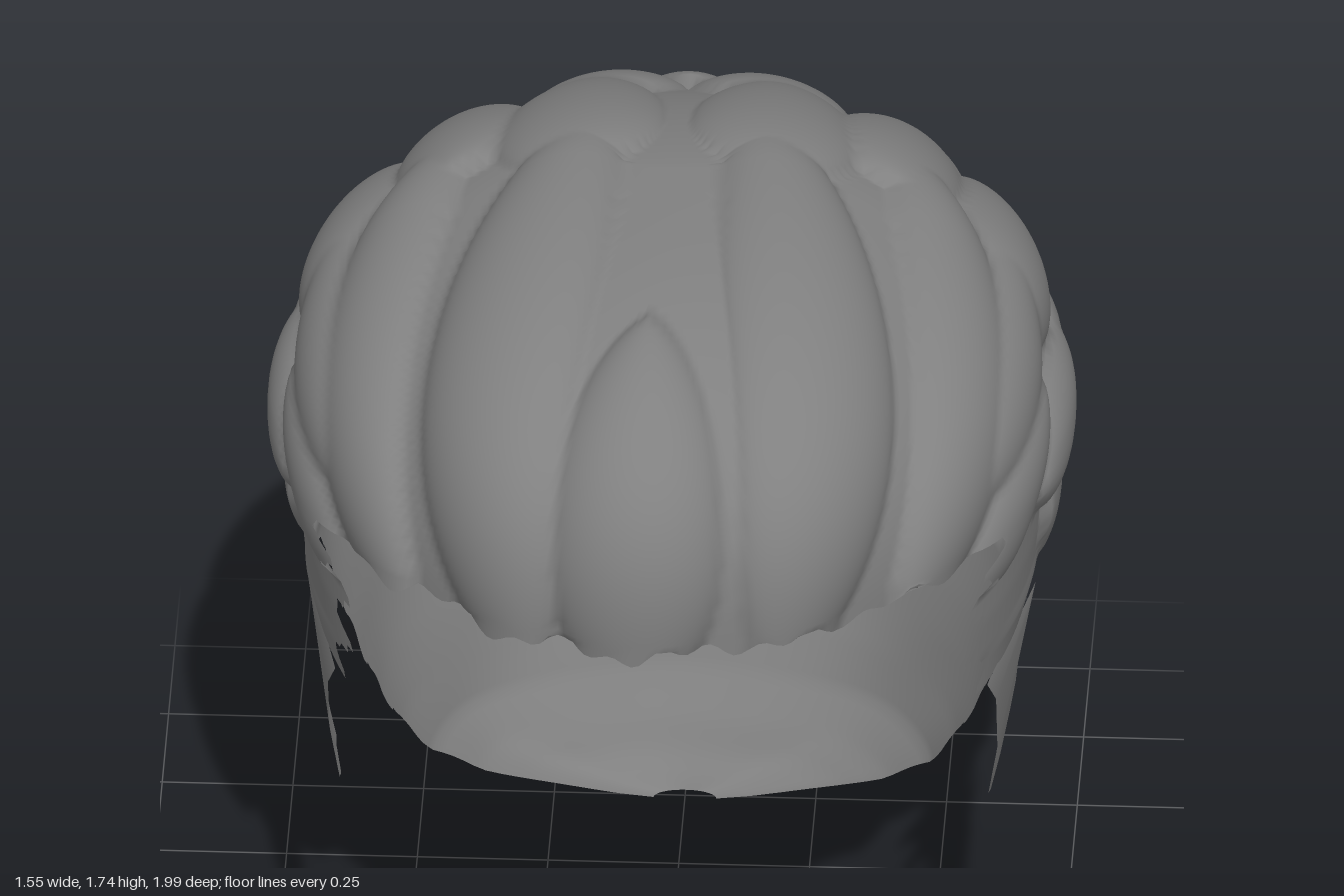
import * as THREE from 'three';
import { mergeVertices } from 'three/addons/utils/BufferGeometryUtils.js';

const CENTRE = new THREE.Vector3(0, 1, 0);
const TOP = 1.71, HEM = 1.2, ARCH = 0.82;
const CROWN_ROWS = 64, LOWER_ROWS = 72, COLUMNS = 304;

// lower cross-sections: y, half width, back z, widest z, front z
const SECTIONS = [
  [1.2, 0.715, -0.89, 0, 0.935], [1.1, 0.715, -0.935, 0, 0.95], [1.0, 0.71, -0.95, 0, 0.96],
  [0.9, 0.7, -0.955, 0, 0.96], [0.82, 0.685, -0.94, 0, 0.97],
  [0.78, 0.675, -0.92, -0.14, 1.3], [0.7, 0.655, -0.88, -0.14, 1.4], [0.6, 0.63, -0.84, -0.14, 1.4],
  [0.5, 0.6, -0.79, -0.15, 1.4], [0.4, 0.565, -0.745, -0.18, 1.4], [0.3, 0.525, -0.69, -0.24, 1.4],
  [0.2, 0.475, -0.645, -0.31, 1.4], [0.12, 0.385, -0.59, -0.38, 1.4], [0.06, 0.27, -0.56, -0.44, 1.4],
  [0.02, 0.14, -0.53, -0.47, 1.4], [0, 0.06, -0.52, -0.49, 1.4],
];

// cross-section of the head of hair at height y
function section(y) {
  if (y >= HEM) {
    const s = Math.min(1, (y - HEM) / (TOP - HEM));
    const k = p => Math.pow(Math.max(0, 1 - Math.pow(s, p)), 1 / p);
    return { w: 0.715 * k(2), back: -0.89 * k(1.6), mid: 0, front: 0.935 * k(2.8) };
  }
  let i = 1;
  while (i < SECTIONS.length - 1 && SECTIONS[i][0] > y) i++;
  const a = SECTIONS[i - 1], b = SECTIONS[i];
  const t = THREE.MathUtils.clamp((a[0] - y) / (a[0] - b[0]), 0, 1);
  const [w, back, mid, front] = [1, 2, 3, 4].map(j => a[j] + (b[j] - a[j]) * t);
  return { w, back, mid, front };
}

// point on the smooth shell; angle 0 is the back, positive towards the right side
function shellPoint(y, angle) {
  const s = section(y), c = Math.cos(angle);
  return new THREE.Vector3(-s.w * Math.sin(angle), y, s.mid - c * (c < 0 ? s.front - s.mid : s.mid - s.back));
}

// how far round the hair reaches at height y, with a ragged edge
function reach(y) {
  if (y >= HEM - 1e-6) return Math.PI;
  if (y < ARCH) return Math.PI / 2 - 0.02 * (1 + Math.sin(y * 47));
  const z = 0.5 + 0.035 * Math.sin(y * 62) - Math.max(0, 0.92 - y) * 0.8;
  return Math.PI / 2 + Math.asin(z / section(y).front);
}

// locks on the left half, mirrored to the right: root, tip, half width, thickness
const PAIRS = [
  // top and fringe
  [[0.24, 1.12, 0.9], [0.14, 1.71, -0.3], 0.17, 0.06],
  [[0.48, 1.14, 0.74], [0.4, 1.64, -0.42], 0.14, 0.055],
  [[0.2, 1.71, 0.0], [0.19, 1.56, -0.76], 0.17, 0.05],
  [[0.42, 1.62, -0.1], [0.42, 1.4, -0.78], 0.15, 0.05],
  // sides
  [[0.64, 1.32, 0.55], [0.62, 1.48, -0.22], 0.13, 0.06],
  [[0.66, 1.43, 0.08], [0.57, 1.36, -0.66], 0.15, 0.055],
  [[0.6, 1.13, 0.58], [0.72, 1.34, 0.1], 0.12, 0.06],
  [[0.73, 1.16, 0.28], [0.72, 1.22, -0.36], 0.11, 0.06],
  [[0.72, 1.22, -0.15], [0.58, 1.1, -0.72], 0.13, 0.05],
  [[0.72, 1.02, 0.1], [0.62, 0.9, -0.6], 0.15, 0.035],
  // back
  [[0.15, 1.58, -0.5], [0.17, 1.18, -0.93], 0.16, 0.05],
  [[0.42, 1.44, -0.5], [0.4, 1.06, -0.83], 0.15, 0.05],
  [[0.24, 1.22, -0.86], [0.22, 0.78, -0.9], 0.17, 0.04],
  [[0.52, 1.14, -0.64], [0.46, 0.7, -0.68], 0.16, 0.045],
  [[0.68, 0.98, -0.25], [0.58, 0.66, -0.45], 0.14, 0.03],
];
const SINGLES = [
  [[-0.03, 1.11, 0.95], [-0.02, 1.71, 0.52], 0.17, 0.065],
  [[0, 1.48, -0.65], [-0.02, 1.04, -0.95], 0.13, 0.055],
  [[0, 1.08, -0.94], [0, 0.66, -0.85], 0.17, 0.04],
];

// each lock follows a great circle about the centre of the head
function makeLock([root, tip, width, thick]) {
  const a = new THREE.Vector3(...root).sub(CENTRE).normalize();
  const b = new THREE.Vector3(...tip).sub(CENTRE).normalize();
  const across = a.clone().cross(b).normalize();
  return { a, across, along: across.clone().cross(a), length: a.angleTo(b), width, thick };
}
const LOCKS = [...SINGLES, ...PAIRS, ...PAIRS.map(([r, t, w, h]) =>
  [[-r[0], r[1], r[2]], [-t[0], t[1], t[2]], w, h])].map(makeLock);

// height of the tallest lock over a shell point: blunt at the root, pointed at the tip
function lockHeight(p) {
  const d = p.clone().sub(CENTRE), r = d.length();
  d.divideScalar(r);
  let best = 0;
  for (const k of LOCKS) {
    const u = Math.atan2(d.dot(k.along), d.dot(k.a)) / k.length;
    if (u <= 0 || u >= 1) continue;
    const f = u < 0.35 ? Math.sqrt(1 - (1 - u / 0.35) ** 2)
      : Math.cos(((u - 0.35) / 0.65) * Math.PI / 2) ** 0.65;
    const v = r * Math.asin(d.dot(k.across)) / (k.width * f);
    if (Math.abs(v) < 1) best = Math.max(best, k.thick * (1 - v * v) ** 0.75 * Math.sqrt(f));
  }
  return best;
}

// one continuous shell raised into locks, open at the face and the underside
function hairGeometry() {
  const pos = [], angles = [], idx = [], row = COLUMNS + 1;
  for (let i = 0; i <= CROWN_ROWS + LOWER_ROWS; i++) {
    const y = i <= CROWN_ROWS
      ? HEM + (TOP - HEM) * Math.cos((i / CROWN_ROWS) * Math.PI / 2)
      : HEM * (1 - (i - CROWN_ROWS) / LOWER_ROWS);
    const limit = reach(y);
    for (let j = 0; j <= COLUMNS; j++) {
      const angle = THREE.MathUtils.clamp((j / COLUMNS * 2 - 1) * Math.PI, -limit, limit);
      const p = shellPoint(y, angle);
      if (y < 0.9) {
        const wave = 1 + 0.01 * Math.sin(angle * 7 + y * 5) * Math.sin(y * 11);
        p.x *= wave;
        p.z *= wave;
      }
      p.addScaledVector(p.clone().sub(CENTRE).normalize(), lockHeight(p));
      // ragged hem over the forehead
      if (i === CROWN_ROWS && p.z > 0.6) p.y += 0.022 * Math.sin(p.x * 47) * Math.cos(p.x * 19);
      pos.push(p.x, p.y, p.z);
      angles.push(angle);
    }
  }
  for (let i = 0; i < CROWN_ROWS + LOWER_ROWS; i++) for (let j = 0; j < COLUMNS; j++) {
    const a = i * row + j, b = a + row;
    // cells past the hem have no lower edge
    if (angles[b] !== angles[b + 1]) idx.push(a, b, a + 1, b, b + 1, a + 1);
  }
  let g = new THREE.BufferGeometry();
  g.setAttribute('position', new THREE.Float32BufferAttribute(pos, 3));
  // angle runs from the front round the left side, so the outside is on the reverse
  g.setIndex(idx);
  g = mergeVertices(g, 1e-5);
  g.computeVertexNormals();
  return g;
}

// sideburn outline: z, y
const SIDEBURN = [
  [0.06, 0.84], [0.1, 0.8], [0.16, 0.72], [0.13, 0.66], [0.17, 0.62], [0.15, 0.51], [0.2, 0.52], [0.25, 0.49],
  [0.33, 0.53], [0.34, 0.64], [0.37, 0.68], [0.41, 0.79], [0.44, 0.84],
];

function sideburnGeometry(sign) {
  const g = new THREE.ShapeGeometry(new THREE.Shape(SIDEBURN.map(p => new THREE.Vector2(...p))));
  const pos = g.attributes.position;
  for (let i = 0; i < pos.count; i++) {
    const z = pos.getX(i), y = pos.getY(i), s = section(y);
    const x = s.w * Math.sqrt(1 - ((z - s.mid) / (s.front - s.mid)) ** 2) + 0.01 + 0.1 * (0.84 - y);
    pos.setXYZ(i, sign * x, y, z);
  }
  if (sign > 0) g.setIndex(Array.from(g.index.array).reverse());
  g.computeVertexNormals();
  return g;
}

export function createModel() {
  const group = new THREE.Group();
  const material = new THREE.MeshStandardMaterial({ color: 0x808080, side: THREE.DoubleSide });
  material.name = 'hairGrey';
  const add = (name, geometry) => {
    const m = new THREE.Mesh(geometry, material);
    m.name = name;
    group.add(m);
  };
  add('hair', hairGeometry());
  add('leftSideburn', sideburnGeometry(1));
  add('rightSideburn', sideburnGeometry(-1));
  return group;
}
